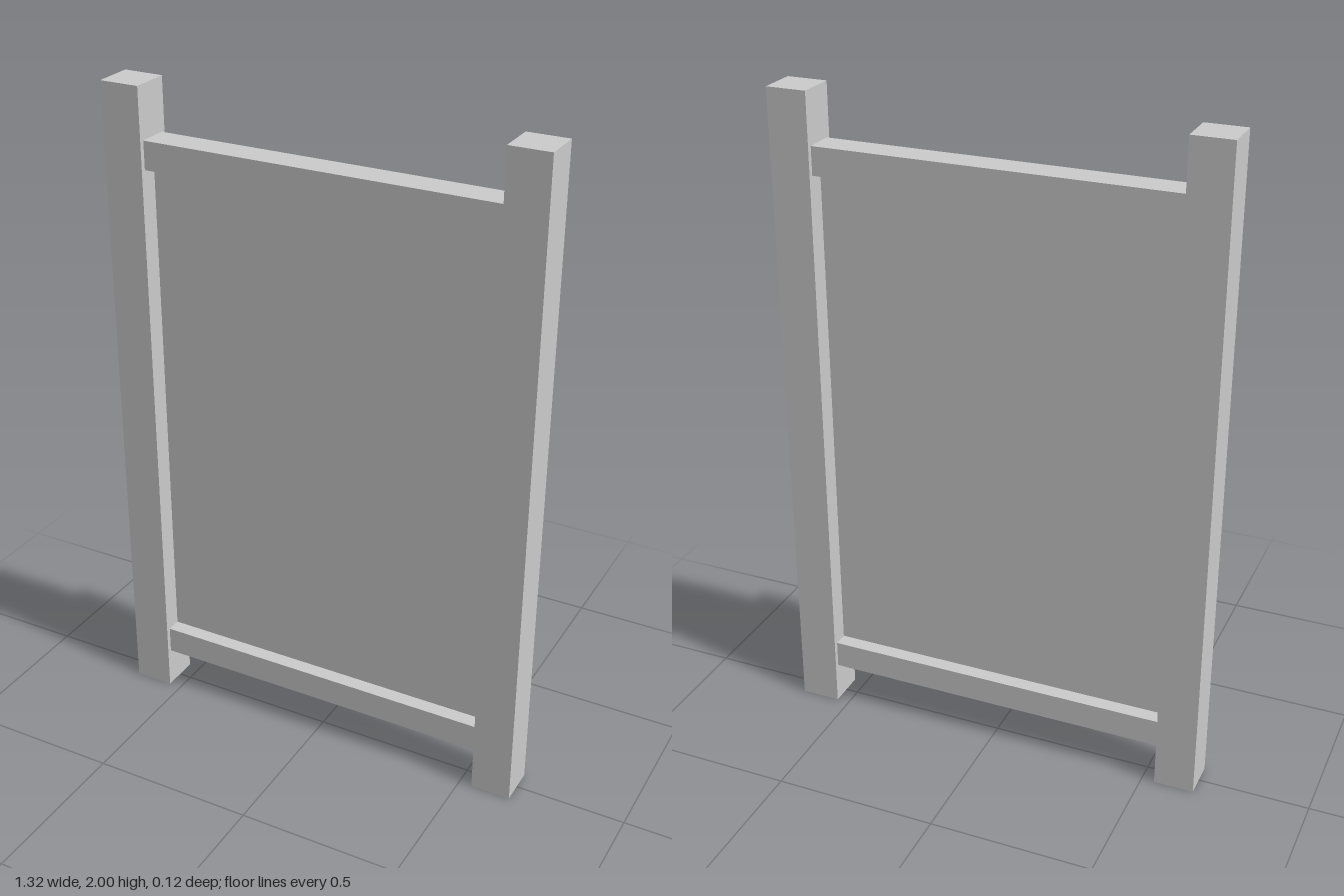
import * as THREE from 'three';

const HALF_WIDTH = 0.662, POST = 0.122, RAIL_DEPTH = 0.092, RAIL_HEIGHT = 0.085;
const INNER = HALF_WIDTH - POST;
const RAIL_LOW = 0.125, RAIL_HIGH = 1.758;

export function createModel() {
  const model = new THREE.Group();
  model.name = 'framedPanel';
  const material = new THREE.MeshStandardMaterial({ color: 0xcccccc, flatShading: true, side: THREE.DoubleSide });

  const add = (name, geometry, x, y) => {
    const mesh = new THREE.Mesh(geometry, material);
    mesh.name = name;
    mesh.position.set(x, y, 0);
    model.add(mesh);
  };

  // Square posts: closed on top, open underneath (box side 3 is the bottom)
  const post = new THREE.BoxGeometry(POST, 2, POST);
  post.setIndex(Array.from(post.index.array).filter((_, i) => Math.floor(i / 6) !== 3));
  post.clearGroups();
  add('leftPost', post, HALF_WIDTH - POST / 2, 1);
  add('rightPost', post, -HALF_WIDTH + POST / 2, 1);

  // Horizontal rails between the posts
  const rail = new THREE.BoxGeometry(INNER * 2, RAIL_HEIGHT, RAIL_DEPTH);
  add('bottomRail', rail, 0, RAIL_LOW + RAIL_HEIGHT / 2);
  add('topRail', rail, 0, RAIL_HIGH + RAIL_HEIGHT / 2);

  // Thin sheet filling the frame
  const bottom = RAIL_LOW + RAIL_HEIGHT;
  add('panel', new THREE.PlaneGeometry(INNER * 2, RAIL_HIGH - bottom), 0, (RAIL_HIGH + bottom) / 2);

  return model;
}
